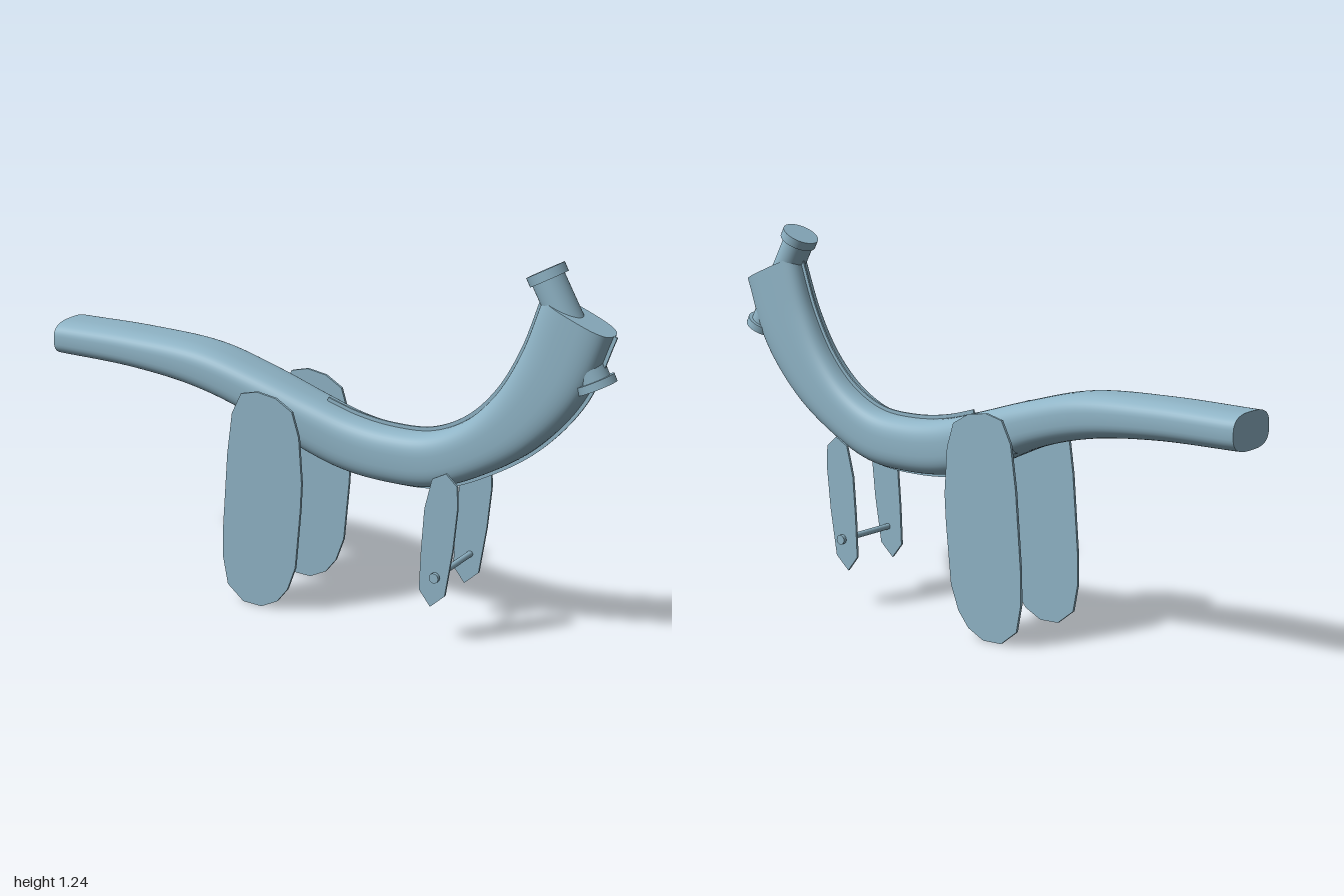
import * as THREE from 'three';

// Matching stations along the body: upper edge and lower edge as (x, y, half width)
const UPPER = [
  [-1, .81, .099], [-.7, .815, .099], [-.42, .803, .098], [-.2, .75, .094], [0, .69, .088],
  [.13, .655, .083], [.26, .641, .08], [.4, .652, .077], [.52, .71, .073], [.62, .81, .069],
  [.7, .95, .065], [.765, 1.13, .06],
];
const LOWER = [
  [-1, .695], [-.7, .691], [-.46, .665], [-.27, .615], [-.06, .525], [.1, .478],
  [.26, .465], [.43, .48], [.6, .555], [.76, .665], [.9, .83], [.985, 1.04],
];
const curve = pts => new THREE.CatmullRomCurve3(pts.map(([x, y, w = 0]) => new THREE.Vector3(x, y, w)));
const upper = curve(UPPER), lower = curve(LOWER);

// Sweep a rounded-box section between the two edge curves
function bodyGeometry(rings = 96, sides = 48) {
  const pos = [], index = [];
  const soft = v => Math.sign(v) * Math.abs(v) ** (2 / 2.9);
  const addRing = t => {
    const a = upper.getPoint(t), b = lower.getPoint(t), w = a.z;
    for (let j = 0; j < sides; j++) {
      const ang = j / sides * Math.PI * 2, c = soft(Math.cos(ang)), s = soft(Math.sin(ang));
      pos.push((a.x + b.x + (a.x - b.x) * c) / 2, (a.y + b.y + (a.y - b.y) * c) / 2, w * s);
    }
  };
  for (let i = 0; i <= rings; i++) addRing(i / rings);
  for (let i = 0; i < rings; i++) {
    for (let j = 0; j < sides; j++) {
      const k = (j + 1) % sides, p = i * sides, q = p + sides;
      index.push(p + j, p + k, q + j, p + k, q + k, q + j);
    }
  }
  // Flat end caps with their own vertices
  for (const t of [0, 1]) {
    const base = pos.length / 3;
    addRing(t);
    for (let j = 1; j < sides - 1; j++) {
      index.push(base, base + (t ? j : j + 1), base + (t ? j + 1 : j));
    }
  }
  const g = new THREE.BufferGeometry();
  g.setAttribute('position', new THREE.Float32BufferAttribute(pos, 3));
  g.setIndex(index);
  g.computeVertexNormals();
  return g;
}

// Extrude an outline into a plate centred on z = 0
function plateGeometry(points, thick) {
  const shape = new THREE.Shape(points.map(([x, y]) => new THREE.Vector2(x, y)));
  return new THREE.ExtrudeGeometry(shape, { depth: thick, bevelEnabled: false }).translate(0, 0, -thick / 2);
}

// Thin fin standing proud of one edge of the body
function seamGeometry(edge, other, t0, height) {
  const outer = [], inner = [];
  for (let i = 0; i <= 48; i++) {
    const t = t0 + (1 - t0) * i / 48, p = edge.getPoint(t), q = other.getPoint(t);
    const dx = p.x - q.x, dy = p.y - q.y, l = Math.hypot(dx, dy);
    outer.push([p.x + dx / l * height, p.y + dy / l * height]);
    inner.unshift([p.x - dx / l * .015, p.y - dy / l * .015]);
  }
  return plateGeometry([...outer, ...inner], .007);
}

export function createModel() {
  const model = new THREE.Group();
  model.name = 'curvedTubeModel';
  const blue = new THREE.MeshStandardMaterial({ color: 0x8fb4c6 });
  blue.name = 'dusty blue';

  const add = (name, geometry, parent = model) => {
    const mesh = new THREE.Mesh(geometry, blue);
    mesh.name = name;
    parent.add(mesh);
    return mesh;
  };
  // Cylinder between two points of the middle plane
  const rod = (name, r, [x0, y0], [x1, y1]) => {
    const a = new THREE.Vector3(x0, y0, 0), b = new THREE.Vector3(x1, y1, 0);
    const mesh = add(name, new THREE.CylinderGeometry(r, r, a.distanceTo(b), 40));
    mesh.position.copy(a).add(b).multiplyScalar(.5);
    mesh.quaternion.setFromUnitVectors(new THREE.Vector3(0, 1, 0), b.sub(a).normalize());
  };

  add('body', bodyGeometry());
  add('upperSeam', seamGeometry(upper, lower, .375, .012));
  add('lowerSeam', seamGeometry(lower, upper, .39, .011));

  // Spout with rim on the raised end
  rod('spout', .051, [.865, 1.01], [.77, 1.18]);
  rod('spoutRim', .061, [.773, 1.181], [.759, 1.207]);

  // Small port on the outside of the raised end
  rod('portStem', .048, [.895, .965], [.933, .89]);
  rod('portRim', .061, [.929, .898], [.94, .876]);

  // Large side paddles on a cross bar
  const paddle = [
    [-.15, .725], [-.21, .71], [-.245, .64], [-.265, .5], [-.285, .25], [-.287, .14], [-.27, .05],
    [-.21, .002], [-.14, 0], [-.08, .03], [-.04, .08], [-.01, .16], [.01, .36], [.015, .45],
    [.005, .6], [-.02, .68], [-.08, .715],
  ];
  add('crossBar', new THREE.BoxGeometry(.118, .06, .296)).position.set(-.135, .62, 0);

  // Small side paddles joined by a pin
  const smallPaddle = [
    [.507, .565], [.46, .54], [.435, .44], [.425, .3], [.42, .17], [.46, .12], [.51, .165],
    [.535, .32], [.549, .46], [.546, .53],
  ];
  add('pin', new THREE.CylinderGeometry(.01, .01, .25, 24).rotateX(Math.PI / 2)).position.set(.479, .224, 0);

  for (const [side, s] of [['front', 1], ['back', -1]]) {
    add(side + 'LargePaddle', plateGeometry(paddle, .009)).position.z = s * .149;
    add(side + 'SmallPaddle', plateGeometry(smallPaddle, .008)).position.z = s * .112;
    add(side + 'PinHead', new THREE.CylinderGeometry(.016, .016, .012, 24).rotateX(Math.PI / 2))
      .position.set(.479, .224, s * .126);
  }
  return model;
}
